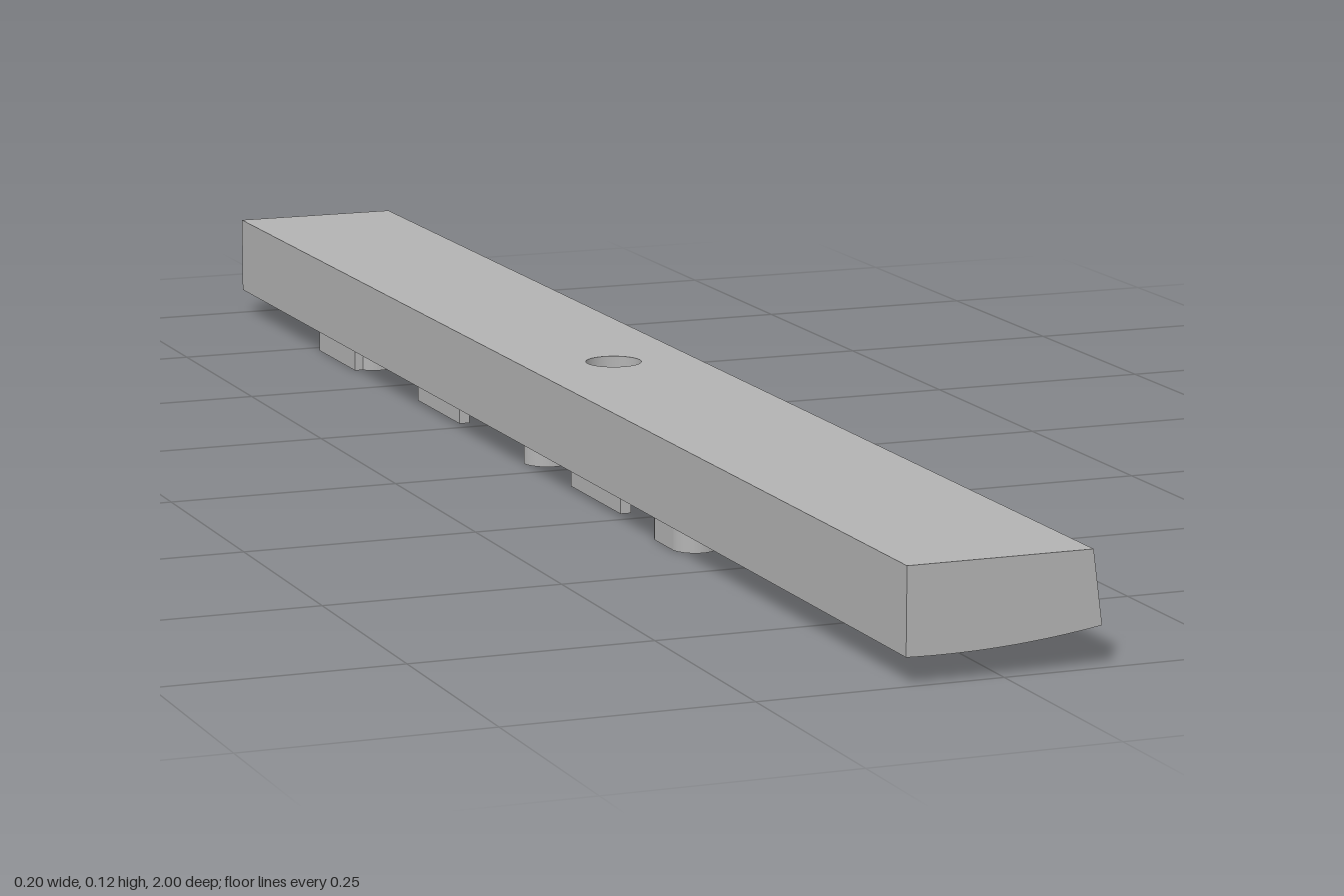
import * as THREE from 'three';
import { ParametricGeometry } from 'three/addons/geometries/ParametricGeometry.js';

const TOP = 0.115, HOLE = 0.03, DEPTH = 0.0275;

// Height of the gently bowed underside
const base = (x) => 0.0275 + 0.5 * (x + 0.065) ** 2;

// Point on a unit square, u running once around it from a corner
function square(u) {
  const s = Math.min(3, Math.floor(u * 4 + 1e-9));
  const t = (u * 4 - s) * 2 - 1;
  return [[1, t], [-t, 1], [-1, -t], [t, -1]][s];
}

// Outline of the bar and of the hole; top = 0 on the underside, 1 on the upper side
function edge(u, top) {
  const [a, b] = square(u);
  const right = 0.1 - 0.01 * top;
  return [(right - 0.1) / 2 + a * (right + 0.1) / 2, b];
}
function rim(u) {
  const [a, b] = square(u);
  const l = Math.hypot(a, b);
  return [a / l * HOLE, b / l * HOLE];
}

export function createModel() {
  const model = new THREE.Group();
  const grey = new THREE.MeshStandardMaterial({ color: 0xb3b3b3 });
  grey.name = 'grey';

  const add = (geometry, name, parent) => {
    const mesh = new THREE.Mesh(geometry, grey);
    mesh.name = name;
    parent.add(mesh);
    return mesh;
  };

  // Bar: upper and lower faces around the hole, outer walls, hole wall
  const bar = new THREE.Group();
  bar.name = 'bar';
  model.add(bar);
  const face = (top) => (u, v, p) => {
    const w = top ? u : 1 - u;
    const [x0, z0] = rim(w), [x1, z1] = edge(w, top);
    const x = x0 + (x1 - x0) * v;
    p.set(x, top ? TOP : base(x), z0 + (z1 - z0) * v);
  };
  add(new ParametricGeometry(face(1), 64, 1), 'upperFace', bar);
  add(new ParametricGeometry(face(0), 64, 10), 'underside', bar);

  const outer = new ParametricGeometry((u, v, p) => {
    const [x, z] = edge(1 - u, v);
    const yb = base(edge(1 - u, 0)[0]);
    p.set(x, yb + (TOP - yb) * v, z);
  }, 64, 1).toNonIndexed();
  outer.computeVertexNormals();
  add(outer, 'outerWalls', bar);

  add(new ParametricGeometry((u, v, p) => {
    const [x, z] = rim(u);
    p.set(x, base(x) + (TOP - base(x)) * v, z);
  }, 64, 1), 'holeWall', bar);

  // Raised ridges hanging below, their ends following the bow of the underside
  const ridges = new THREE.Group();
  ridges.name = 'ridges';
  model.add(ridges);
  function ridge(shape, name) {
    const g = new THREE.ExtrudeGeometry(shape, { depth: 1, bevelEnabled: false, curveSegments: 20 });
    g.rotateX(Math.PI / 2);
    const p = g.attributes.position;
    for (let i = 0; i < p.count; i++) p.setY(i, base(p.getX(i)) + p.getY(i) * DEPTH);
    add(g, name, ridges);
  }
  function strip(x0, x1, z0, z1, name) {
    ridge(new THREE.Shape([[x0, z0], [x1, z0], [x1, z1], [x0, z1]]
      .map(([x, z]) => new THREE.Vector2(x, z))), name);
  }
  function arc(x, z, r, from, to, name, w = 0.011) {
    const s = new THREE.Shape();
    s.absarc(x, z, r, from, to, false);
    s.absarc(x, z, r - w, to, from, true);
    ridge(s, name);
  }
  function ring(x, z, r, name, w = 0.011) {
    const s = new THREE.Shape();
    s.absarc(x, z, r, 0, Math.PI * 2, false);
    const h = new THREE.Path();
    h.absarc(x, z, r - w, 0, Math.PI * 2, true);
    s.holes.push(h);
    ridge(s, name);
  }

  // Long strips running along the bar
  [
    [-0.091, -0.6, -0.73], [-0.04, -0.11, -0.22], [-0.08, -0.27, -0.41],
    [-0.08, 0.08, 0.225], [0.018, 0.275, 0.475],
  ].forEach(([x, a, b]) => strip(x, x + 0.012, b, a, 'longStrip'));

  // Short cross strips
  strip(-0.035, 0.035, 0.65, 0.66, 'crossStrip');
  strip(-0.09, -0.005, 0.345, 0.356, 'crossStrip');
  strip(-0.08, -0.055, -0.41, -0.398, 'crossStrip');
  strip(-0.065, -0.04, 0.045, 0.06, 'crossStrip');
  strip(0, 0.014, -0.965, -0.925, 'endTab');
  arc(-0.012, -0.945, 0.018, Math.PI / 2, Math.PI * 1.5, 'endHook', 0.008);

  // Pairs of loops and the half loops
  for (const [x, z] of [[-0.01, -0.622], [0.06, -0.125]]) {
    ring(x, z, 0.032, 'largeLoop');
    ring(x - 0.052, z + 0.003, 0.027, 'smallLoop');
  }
  for (const x of [-0.03, -0.068]) arc(x, 0.4, 0.024, 0, Math.PI, 'halfLoop');
  for (const x of [-0.092, -0.05, -0.017]) strip(x, x + 0.011, 0.352, 0.402, 'loopLeg');
  arc(-0.06, -0.045, 0.027, -Math.PI / 2, Math.PI, 'openLoop');

  return model;
}
